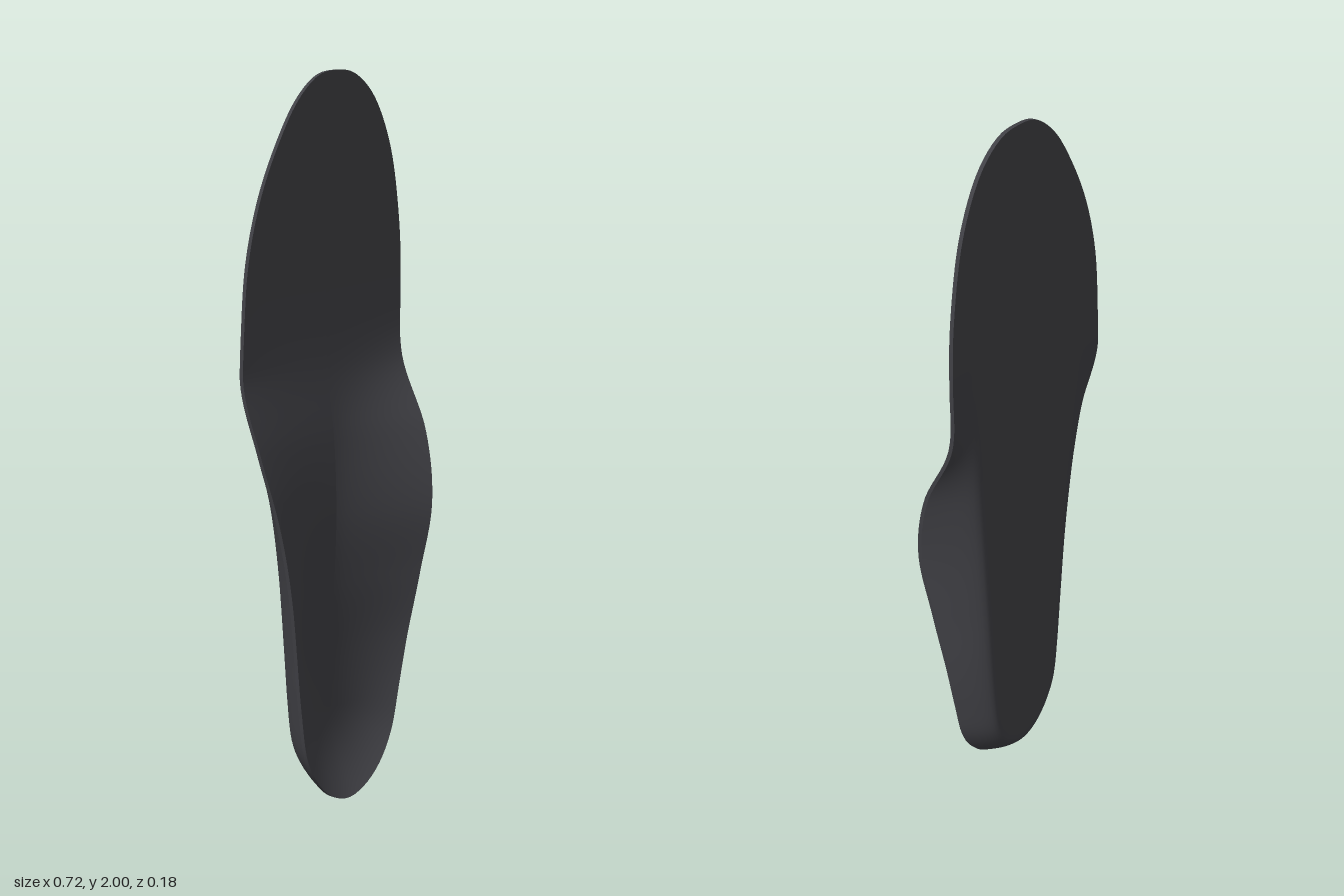
import * as THREE from 'three';

const SEGMENTS = 200;
const EDGE = 0.012; // thickness at the rim

// Smooth lookup in a table of values spaced 0.2 apart along y
function lookup(values) {
  const curve = new THREE.SplineCurve(values.map((v, i) => new THREE.Vector2(i * 0.2, v)));
  return (y) => curve.getPoint(THREE.MathUtils.clamp(y / 2, 0, 1)).y;
}

const floorHeight = lookup([0.03, 0.03, 0.032, 0.042, 0.05, 0.042, 0.018, 0.012, 0.012, 0.012, 0.012]);
const archRim = lookup([0.1, 0.101, 0.116, 0.148, 0.172, 0.13, 0.03, 0.012, 0.012, 0.012, 0.012]);
const outerRim = lookup([0.1, 0.1, 0.1, 0.1, 0.087, 0.052, 0.012, 0.012, 0.012, 0.012, 0.012]);
const archBend = lookup([2.5, 2.5, 2.1, 1.5, 1.25, 1.4, 2, 2.5, 2.5, 2.5, 2.5]);

// Sole outline, counter-clockwise from the heel
const outline = new THREE.CatmullRomCurve3([
  [0, 0], [0.08, 0.02], [0.15, 0.07], [0.203, 0.15], [0.232, 0.27], [0.257, 0.43],
  [0.277, 0.6], [0.302, 0.8], [0.325, 1], [0.343, 1.22], [0.356, 1.42], [0.345, 1.6],
  [0.3, 1.8], [0.22, 1.935], [0.13, 1.993], [0.05, 2], [-0.03, 1.985], [-0.12, 1.92],
  [-0.21, 1.8], [-0.285, 1.66], [-0.335, 1.5], [-0.355, 1.32], [-0.36, 1.16],
  [-0.335, 1], [-0.297, 0.82], [-0.266, 0.65], [-0.24, 0.45], [-0.22, 0.29],
  [-0.192, 0.15], [-0.14, 0.07], [-0.075, 0.02],
].map(([x, y]) => new THREE.Vector3(x, y, 0)), true).getSpacedPoints(SEGMENTS).slice(0, SEGMENTS);

// Point at a share r of the way from the centre line to the outline
function solePoint(p, r, heightAt) {
  const centreY = THREE.MathUtils.clamp(p.y, 0.25, 1.65);
  const x = p.x * r;
  const y = THREE.MathUtils.lerp(centreY, p.y, r);
  // The whole sole leans sideways
  return new THREE.Vector3(x, y, -0.056 - 0.1 * x + heightAt(p, r, y));
}

const rimHeight = (p) => Math.max(EDGE, p.x > 0 ? archRim(p.y) : outerRim(p.y));

function topHeight(p, r, y) {
  const floor = Math.max(EDGE, floorHeight(y));
  const bend = p.x > 0 ? archBend(p.y) : 2.5;
  return THREE.MathUtils.lerp(floor, rimHeight(p), Math.pow(r, bend));
}

// Flat base that curls up into the side wall
function baseHeight(p, r) {
  const curl = Math.max(0, (r - 0.72) / 0.28);
  return (rimHeight(p) - EDGE) * Math.pow(curl, 1.6);
}

// Smooth surface through closed rings of points
function ringSurface(rings) {
  const positions = rings.flat().flatMap((v) => [v.x, v.y, v.z]);
  const index = [];
  for (let i = 0; i < rings.length - 1; i++) {
    for (let j = 0; j < SEGMENTS; j++) {
      const k = (j + 1) % SEGMENTS;
      const a = i * SEGMENTS + j, b = a + SEGMENTS;
      const c = (i + 1) * SEGMENTS + k, d = i * SEGMENTS + k;
      index.push(a, b, c, a, c, d);
    }
  }
  const geometry = new THREE.BufferGeometry();
  geometry.setAttribute('position', new THREE.Float32BufferAttribute(positions, 3));
  geometry.setIndex(index);
  geometry.computeVertexNormals();
  return geometry;
}

export function createModel() {
  const group = new THREE.Group();
  group.name = 'insole';
  const material = new THREE.MeshStandardMaterial({ color: 0x404045 });

  const ring = (r, heightAt) => outline.map((p) => solePoint(p, r, heightAt));
  const add = (name, rings) => {
    const mesh = new THREE.Mesh(ringSurface(rings), material);
    mesh.name = name;
    group.add(mesh);
  };

  // Rings lie closer together near the rim
  const steps = Array.from({ length: 29 }, (_, i) => Math.sin((i / 28) * Math.PI / 2));
  add('footbed', steps.map((r) => ring(r, topHeight)));
  add('rimEdge', [ring(1, topHeight), ring(1, baseHeight)]);
  add('underside', steps.slice().reverse().map((r) => ring(r, baseHeight)));

  return group;
}
